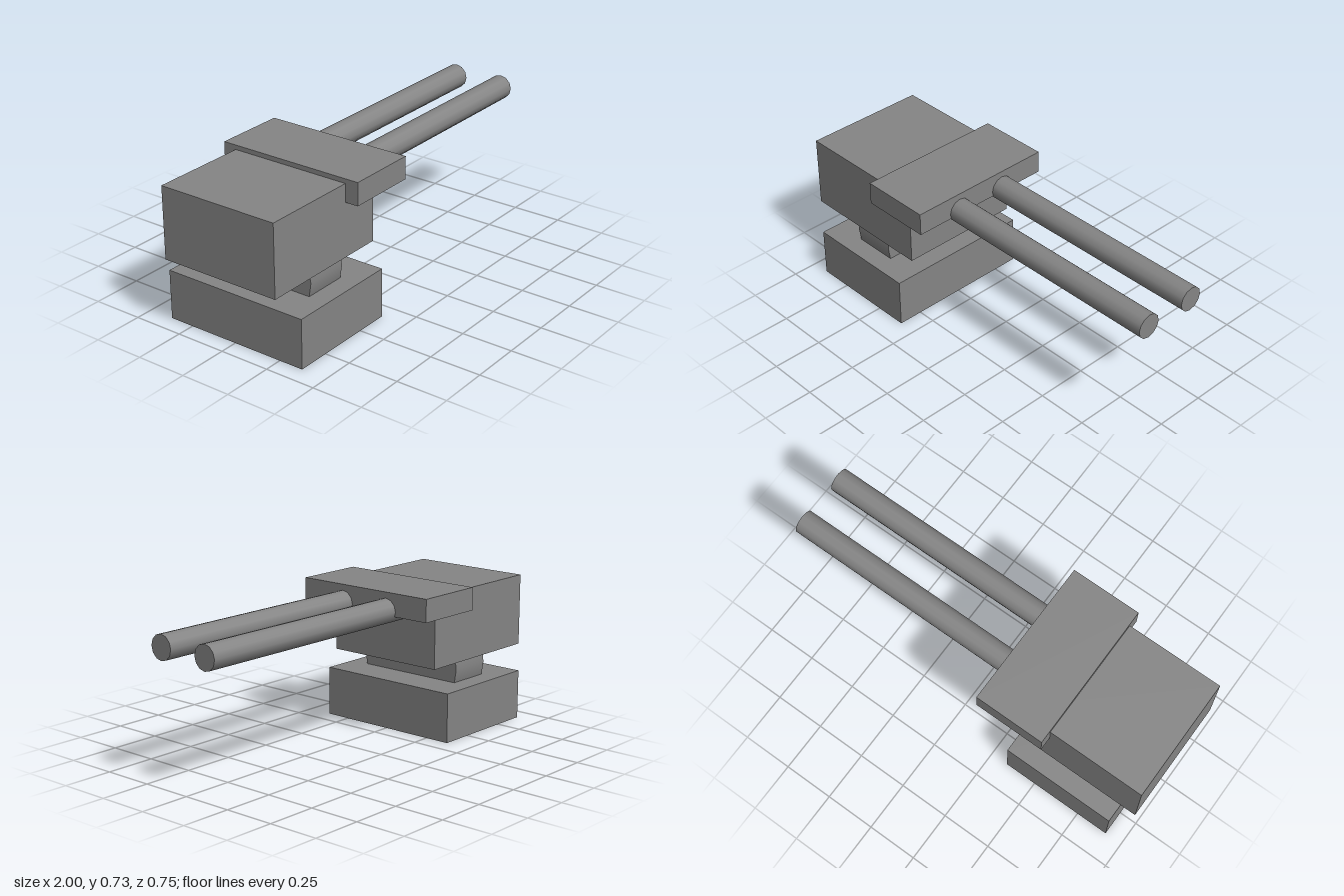
import * as THREE from 'three';

const material = new THREE.MeshStandardMaterial({ color: 0x858585 });

function add(group, name, geometry) {
  const mesh = new THREE.Mesh(geometry, material);
  mesh.name = name;
  group.add(mesh);
  return mesh;
}

// Box spanning x0..x1 and y0..y1, centred on z
function block(group, name, x0, x1, y0, y1, depth) {
  add(group, name, new THREE.BoxGeometry(x1 - x0, y1 - y0, depth))
    .position.set((x0 + x1) / 2, (y0 + y1) / 2, 0);
}

// Smooth-shaded cylinder lying along x from x0 to x1
function rod(group, name, x0, x1, y, z, radius, sides) {
  const geometry = new THREE.CylinderGeometry(radius, radius, x1 - x0, sides).rotateZ(-Math.PI / 2);
  add(group, name, geometry).position.set((x0 + x1) / 2, y, z);
}

export function createModel() {
  const turret = new THREE.Group();
  turret.name = 'turret';

  block(turret, 'base', -0.912, -0.339, 0, 0.242, 0.746);

  // Pivot drum, mostly sunk into base and housing
  rod(turret, 'pivotDrum', -0.736, -0.517, 0.308, 0, 0.286, 20);

  block(turret, 'housing', -1, -0.319, 0.352, 0.704, 0.614);
  block(turret, 'barrelMount', -0.518, -0.167, 0.615, 0.726, 0.746);

  // Twin barrels
  for (const side of [1, -1]) {
    rod(turret, side > 0 ? 'frontBarrel' : 'backBarrel', -0.255, 1, 0.637, side * 0.132, 0.06, 12);
  }
  return turret;
}
